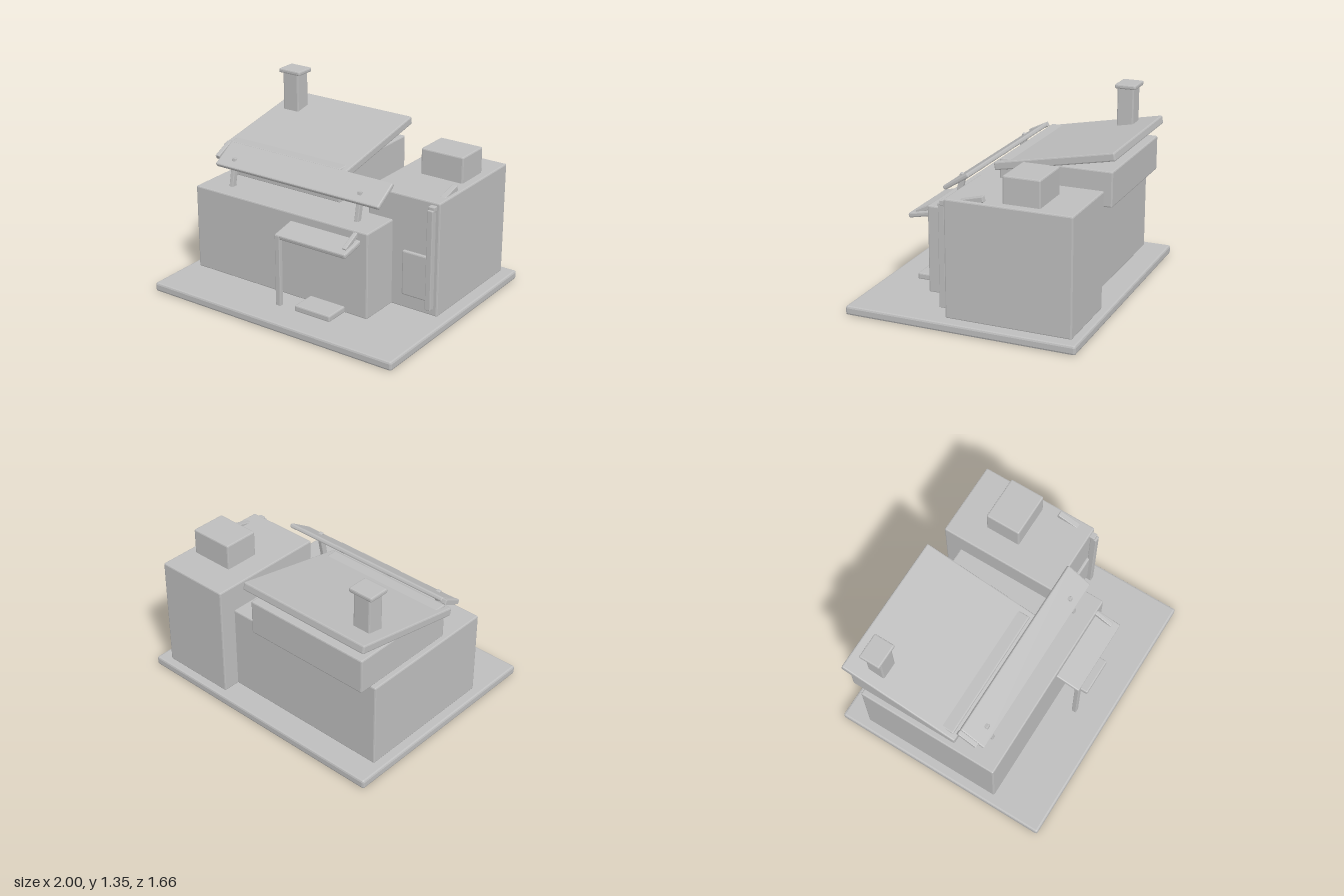
import * as THREE from 'three';
import { RoundedBoxGeometry } from 'three/addons/geometries/RoundedBoxGeometry.js';

export function createModel() {
  const model = new THREE.Group();
  const grey = new THREE.MeshStandardMaterial({ color: 0xbdbdbd, flatShading: true });
  grey.name = 'plain grey';

  // Bevelled box given by its centre, size and tilt about x
  function slab(name, center, size, tilt = 0, bevel = 0.01) {
    const r = Math.min(bevel, Math.min(...size) * 0.3);
    const mesh = new THREE.Mesh(new RoundedBoxGeometry(...size, 1, r), grey);
    mesh.name = name;
    mesh.position.set(...center);
    mesh.rotation.x = tilt;
    model.add(mesh);
  }

  // Upright bevelled box given by its limits on each axis
  function block(name, [x0, x1], [y0, y1], [z0, z1], bevel) {
    slab(name, [(x0 + x1) / 2, (y0 + y1) / 2, (z0 + z1) / 2], [x1 - x0, y1 - y0, z1 - z0], 0, bevel);
  }

  // Ground plate and the three building volumes
  block('basePlate', [-1, 1], [0, 0.065], [-0.83, 0.83], 0.015);
  block('mainHall', [-0.93, 0.542], [0.06, 0.692], [-0.645, 0.428]);
  block('upperStorey', [-0.89, 0.085], [0.685, 0.94], [-0.735, 0.095]);
  block('sideTower', [0.345, 0.908], [0.06, 0.892], [-0.77, 0.125]);

  // Sloping roof and chimney
  slab('mainRoof', [-0.4, 0.973, -0.32], [1.05, 0.06, 0.897], 0.192);
  block('chimney', [-0.835, -0.7], [0.98, 1.325], [-0.605, -0.48]);
  block('chimneyCap', [-0.865, -0.677], [1.315, 1.348], [-0.625, -0.468]);

  // Tilted board on two leaning struts
  slab('frontBoard', [-0.15, 0.887, 0.213], [1.39, 0.032, 0.217], 0.56);
  for (const x of [-0.715, 0.362]) {
    slab('boardStrut', [x, 0.785, 0.262], [0.032, 0.22, 0.042], -0.2, 0.005);
  }
  slab('boardSideBrace', [-0.862, 0.905, 0.19], [0.035, 0.035, 0.16], 0.46, 0.005);

  // Porch
  slab('porchRoof', [0.195, 0.597, 0.505], [0.58, 0.036, 0.205], 0.2);
  block('porchPost', [-0.092, -0.052], [0.06, 0.59], [0.573, 0.608], 0.005);
  slab('porchBrace', [0.445, 0.637, 0.48], [0.032, 0.032, 0.17], 0.46, 0.005);
  block('doorStep', [0.07, 0.36], [0.06, 0.108], [0.42, 0.608]);

  // Tower fittings
  block('roofUnit', [0.515, 0.847], [0.88, 1.08], [-0.525, -0.262]);
  block('towerPanel', [0.632, 0.85], [0.165, 0.495], [0.11, 0.145]);
  block('downPipe', [0.84, 0.884], [0.12, 0.85], [0.13, 0.178], 0.005);
  block('pipeCollar', [0.838, 0.886], [0.835, 0.872], [0.12, 0.163], 0.005);
  slab('towerBrace', [0.862, 0.888, -0.045], [0.042, 0.04, 0.2], 0.25, 0.005);

  return model;
}
